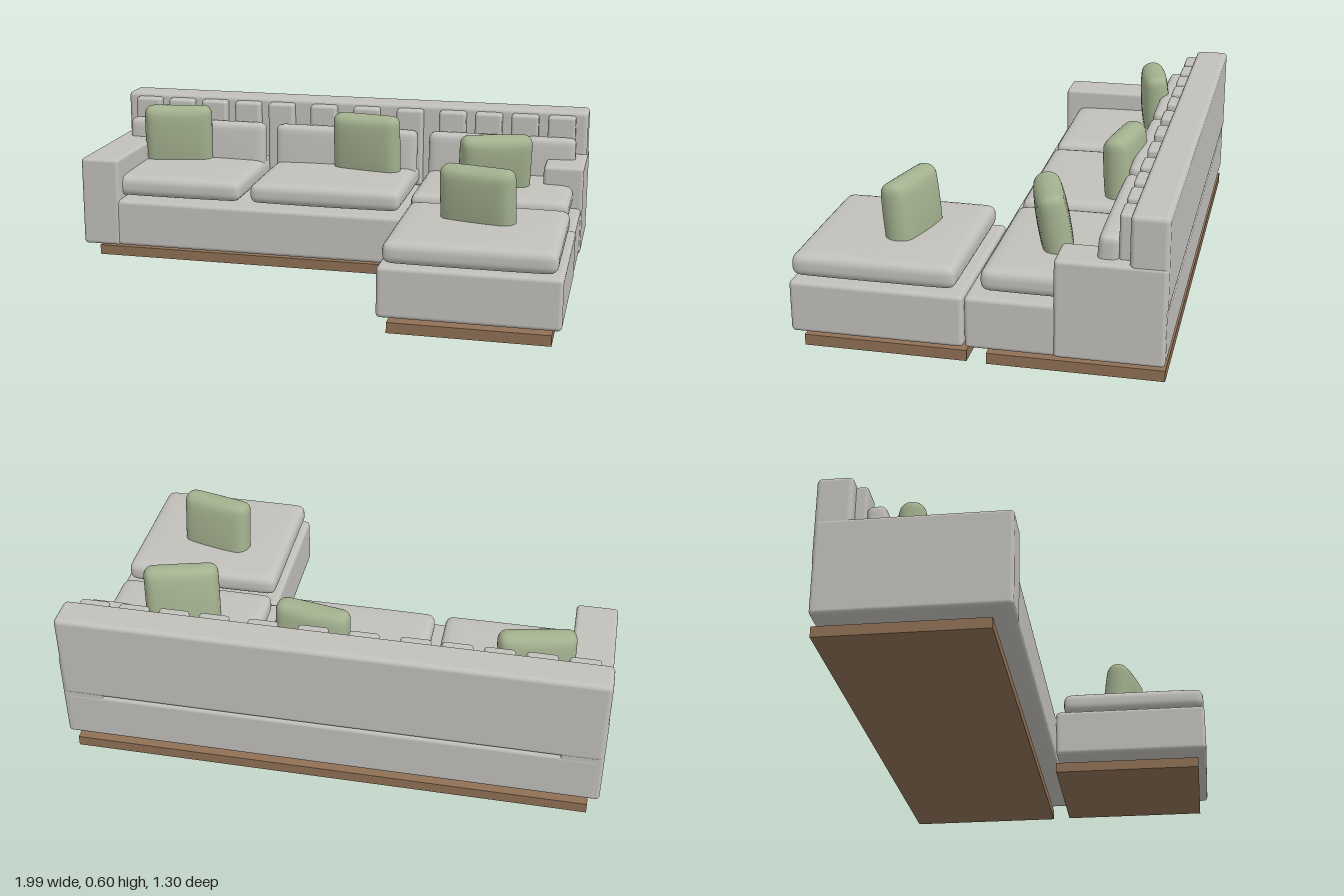
import * as THREE from 'three';
import { mergeVertices } from 'three/addons/utils/BufferGeometryUtils.js';
import { RoundedBoxGeometry } from 'three/addons/geometries/RoundedBoxGeometry.js';

const fabric = new THREE.MeshStandardMaterial({ color: 0xc2c0bb });
fabric.name = 'grey fabric';
const pillowFabric = new THREE.MeshStandardMaterial({ color: 0xa3b18f });
pillowFabric.name = 'green fabric';
const wood = new THREE.MeshStandardMaterial({ color: 0x8f7055 });
wood.name = 'brown wood';

// Rounded block given by its limits on each axis
function block(name, [x0, x1], [y0, y1], [z0, z1], radius = 0.016) {
  const mesh = new THREE.Mesh(new RoundedBoxGeometry(x1 - x0, y1 - y0, z1 - z0, 3, radius), fabric);
  mesh.position.set((x0 + x1) / 2, (y0 + y1) / 2, (z0 + z1) / 2);
  mesh.name = name;
  return mesh;
}

// Stuffed cushion: rounded box whose thin axis swells toward the middle
function cushionGeometry(size, radius, thinAxis, swell) {
  const geo = new THREE.BoxGeometry(2, 2, 2, 18, 18, 18);
  const pos = geo.attributes.position;
  const half = size.map((s) => s / 2);
  const ease = (t) => Math.sign(t) * (1 - (1 - Math.abs(t)) ** 2);
  for (let i = 0; i < pos.count; i++) {
    const t = [pos.getX(i), pos.getY(i), pos.getZ(i)].map(ease);
    const p = t.map((v, a) => v * half[a]);
    const core = p.map((v, a) => THREE.MathUtils.clamp(v, radius - half[a], half[a] - radius));
    const out = new THREE.Vector3(p[0] - core[0], p[1] - core[1], p[2] - core[2]);
    if (out.lengthSq() > 0) out.setLength(radius);
    const q = [core[0] + out.x, core[1] + out.y, core[2] + out.z];
    let scale = 1;
    for (let a = 0; a < 3; a++) if (a !== thinAxis) scale *= 1 - (q[a] / half[a]) ** 2;
    q[thinAxis] *= 1 + (swell / half[thinAxis]) * Math.sqrt(Math.max(0, scale));
    pos.setXYZ(i, ...q);
  }
  geo.deleteAttribute('uv');
  geo.deleteAttribute('normal');
  const smooth = mergeVertices(geo, 1e-5);
  smooth.computeVertexNormals();
  return smooth;
}

function addMesh(group, name, geo, material, x, y, z) {
  const mesh = new THREE.Mesh(geo, material);
  mesh.name = name;
  mesh.position.set(x, y, z);
  group.add(mesh);
  return mesh;
}

export function createModel() {
  const sofa = new THREE.Group();
  sofa.name = 'sectionalSofa';

  // Wooden plinths
  addMesh(sofa, 'sofaPlinth', new THREE.BoxGeometry(1.92, 0.04, 0.61), wood, 0, 0.022, -0.34);
  addMesh(sofa, 'ottomanPlinth', new THREE.BoxGeometry(0.58, 0.04, 0.58), wood, 0.665, 0.022, 0.325);

  // Upholstered frame
  sofa.add(
    block('sofaBase', [-0.99, 0.988], [0.068, 0.257], [-0.647, 0.034]),
    block('ottomanBase', [0.342, 0.99], [0.068, 0.257], [0.038, 0.65]),
    block('backrest', [-0.998, 0.99], [0.258, 0.597], [-0.65, -0.52], 0.018),
    block('rightArm', [-1, -0.843], [0.068, 0.426], [-0.646, 0.038], 0.014),
    block('leftArm', [0.836, 0.994], [0.068, 0.422], [-0.646, -0.272], 0.014),
  );

  // Seat and back cushions
  const seat = cushionGeometry([0.61, 0.078, 0.58], 0.03, 1, 0.009);
  const back = cushionGeometry([0.6, 0.24, 0.07], 0.024, 2, 0.006);
  [-0.655, -0.003, 0.65].forEach((x) => {
    addMesh(sofa, 'seatCushion', seat, fabric, x, 0.305, -0.302);
    addMesh(sofa, 'backCushion', back, fabric, x, 0.383, -0.44).rotation.x = -0.06;
  });
  addMesh(sofa, 'ottomanCushion', seat, fabric, 0.664, 0.305, 0.358);

  // Padded slats, four behind each seat: first centre and spacing
  [[-0.895, 0.149], [-0.299, 0.185], [0.436, 0.15]].forEach(([start, step]) => {
    for (let i = 0; i < 4; i++) {
      const x = start + i * step;
      sofa.add(block('backSlat', [x - 0.056, x + 0.056], [0.26, 0.582], [-0.53, -0.478], 0.013));
    }
  });

  // Throw pillows: x, top height, z, yaw, forward lean
  const pillow = cushionGeometry([0.285, 0.285, 0.078], 0.036, 2, 0.02);
  [
    [-0.72, 0.58, -0.372, 0.2, 0.06],
    [0.1, 0.58, -0.372, -0.17, 0.06],
    [0.65, 0.56, -0.205, 0.27, 0.17],
    [0.65, 0.553, 0.305, -0.24, 0.1],
  ].forEach(([x, top, z, yaw, lean]) => {
    const mesh = addMesh(sofa, 'throwPillow', pillow, pillowFabric, x, top - 0.143, z);
    mesh.rotation.set(lean, yaw, 0, 'YXZ');
  });

  return sofa;
}
